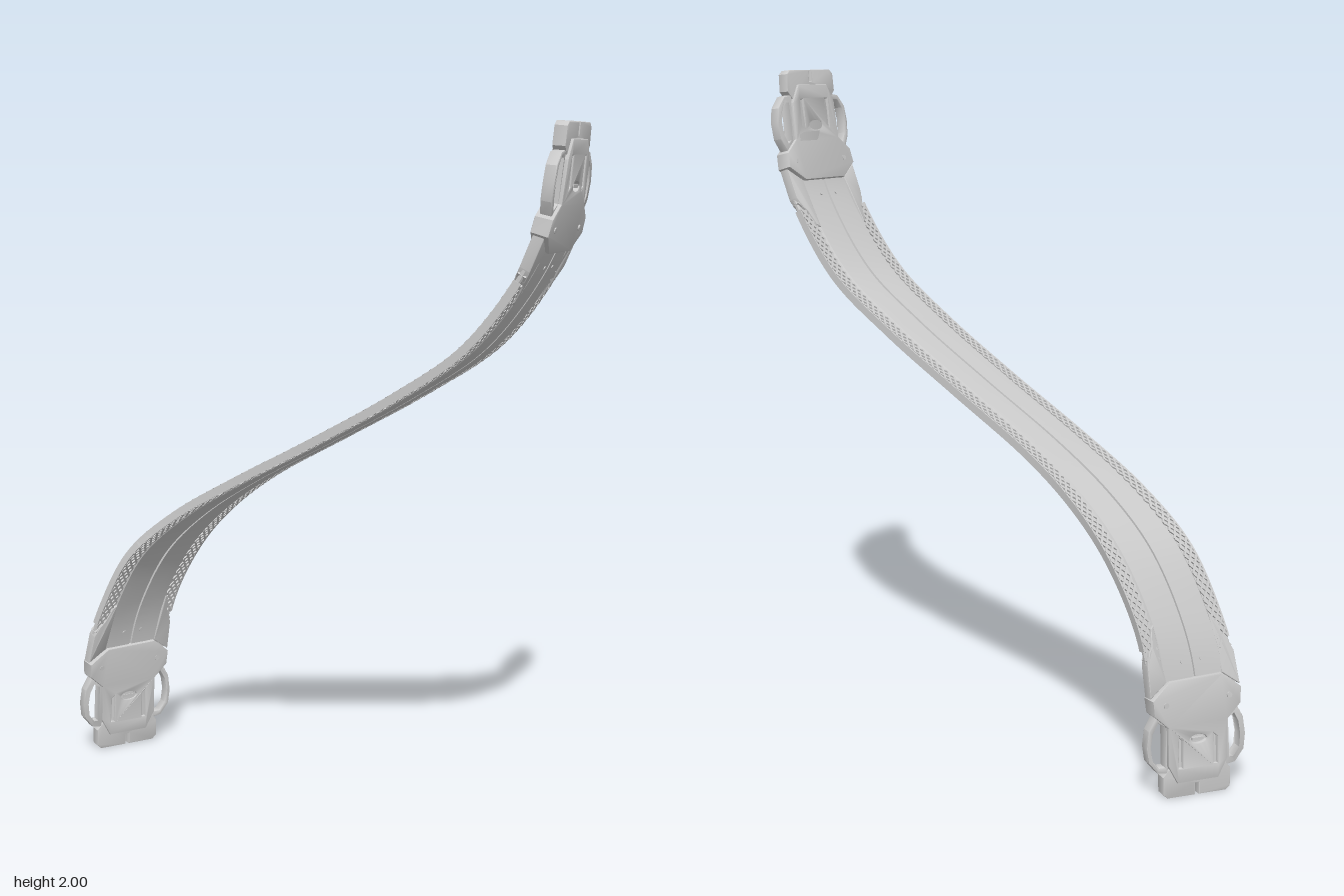
import * as THREE from 'three';
import { mergeGeometries, toCreasedNormals } from 'three/addons/utils/BufferGeometryUtils.js';

// Rungs of the twisted S-shaped strap: height, x of one edge, x of the other edge
const RUNGS = [
  [0, -0.81, -0.60], [0.15, -0.80, -0.60], [0.335, -0.775, -0.60], [0.5, -0.715, -0.56],
  [0.68, -0.61, -0.46], [0.82, -0.445, -0.335], [0.945, -0.235, -0.17], [1.085, 0.022, 0.075],
  [1.235, 0.28, 0.333], [1.39, 0.497, 0.552], [1.605, 0.66, 0.708], [1.78, 0.716, 0.768], [2, 0.738, 0.79],
];
const HALF = 0.145; // half width of the flat strap
const curve = (pts) => new THREE.CatmullRomCurve3(pts, false, 'catmullrom', 0.5);
const edgeA = curve(RUNGS.map(([y, a]) => new THREE.Vector3(a, y, 0.117 + 0.206 * a)));
const edgeB = curve(RUNGS.map(([y, , b]) => new THREE.Vector3(b, y, -0.169 + 0.18 * b)));
const spine = curve(edgeA.points.map((p, i) => p.clone().lerp(edgeB.points[i], 0.5)));
spine.arcLengthDivisions = 600;
const L = spine.getLength();

// Bend a flat part (x across, y along, z thickness) onto the strap
function bend(geo, crease = 0.5) {
  const p = geo.attributes.position;
  const v = new THREE.Vector3();
  for (let i = 0; i < p.count; i++) {
    v.fromBufferAttribute(p, i);
    const t = spine.getUtoTmapping(THREE.MathUtils.clamp(v.y / L, 0, 1));
    const a = edgeA.getPoint(t), b = edgeB.getPoint(t);
    const across = b.clone().sub(a);
    const normal = across.clone().cross(spine.getTangent(t)).normalize();
    const out = a.add(b).multiplyScalar(0.5).addScaledVector(across, v.x / (2 * HALF)).addScaledVector(normal, v.z);
    p.setXYZ(i, out.x, out.y, out.z);
  }
  return toCreasedNormals(geo, crease);
}

const material = new THREE.MeshStandardMaterial({ color: 0xcccccc, side: THREE.DoubleSide });
function part(name, geo) {
  const m = new THREE.Mesh(bend(geo), material);
  m.name = name;
  return m;
}
const shapeOf = (pts) => new THREE.Shape(pts.map(([x, y]) => new THREE.Vector2(x, y)));
// Shape symmetric in x from its right-hand outline
const symmetric = (pts) => shapeOf([...pts, ...pts.slice().reverse().map(([x, y]) => [-x, y])]);

// Plate centred on the strap's mid-surface
function plate(shape, thick, bevel = 0.004) {
  return new THREE.ExtrudeGeometry(shape, {
    depth: thick - 2 * bevel, bevelEnabled: bevel > 0, bevelSize: bevel, bevelOffset: -bevel,
    bevelThickness: bevel, bevelSegments: 2, curveSegments: 10,
  }).translate(0, 0, -thick / 2 + bevel);
}
// Both ends share the same parts, turned half a turn
const atEnd = (geo, top) => (top ? geo.rotateZ(Math.PI).translate(0, L, 0) : geo);

// Strap cross-section: centre groove, thick middle panel, thin edge strips
function band() {
  const half = [[0, 0.009], [0.0035, 0.009], [0.0045, 0.015], [0.06, 0.0155], [0.095, 0.014], [0.1, 0.009],
    [0.139, 0.008], [0.143, 0.004]];
  const upper = [...half.slice(1).reverse().map(([x, z]) => [-x, z]), ...half];
  const lower = upper.slice().reverse().map(([x, z]) => [x, -z]);
  return new THREE.ExtrudeGeometry(shapeOf([...upper, ...lower].reverse()), {
    depth: L - 0.62, steps: 140, bevelEnabled: false,
  }).rotateX(-Math.PI / 2).translate(0, 0.31, 0);
}

// Diamond net along both edges, standing proud on both faces
function net() {
  const bars = [], pitch = 0.027, from = 0.44, to = L - 0.44;
  const width = 0.04, rise = 0.054;
  const length = Math.hypot(width, rise), lean = Math.atan2(rise, width);
  for (const side of [-1, 1]) {
    for (let y = from; y < to; y += pitch) {
      for (const dir of [-1, 1]) {
        bars.push(new THREE.BoxGeometry(length, 0.006, 0.027, 2, 1, 1).rotateZ(dir * lean)
          .translate(side * 0.121, y, 0));
      }
    }
    // Thin rail closing the net on its outside
    bars.push(new THREE.BoxGeometry(0.005, to - from, 0.024, 1, 100, 1)
      .translate(side * 0.1425, (from + to) / 2, 0));
  }
  return mergeGeometries(bars);
}

function cover() {
  const s = symmetric([[0.06, 0.045], [0.088, 0.1], [0.092, 0.215], [0.135, 0.255], [0.141, 0.3], [0.085, 0.347]]);
  // Slots either side of the latch
  for (const x of [-0.052, 0.052]) {
    const h = new THREE.Path();
    h.moveTo(x - 0.005, 0.09).lineTo(x - 0.005, 0.17).lineTo(x + 0.005, 0.18).lineTo(x + 0.005, 0.09).closePath();
    s.holes.push(h);
  }
  const window = new THREE.Path();
  window.absellipse(0, 0.17, 0.026, 0.013, 0, Math.PI * 2, true);
  s.holes.push(window);
  return plate(s, 0.054);
}

// Connector tongue, split in the middle at its tip
function tongue() {
  return plate(symmetric([[0.005, 0.035], [0.005, 0], [0.085, 0], [0.098, 0.012], [0.1, 0.065], [0.08, 0.09],
    [0.084, 0.22], [0.12, 0.26], [0.125, 0.3], [0.075, 0.335]]), 0.038, 0.003);
}

// Open side loop
function loop(side) {
  const outer = [[0.085, 0.075], [0.115, 0.08], [0.142, 0.115], [0.149, 0.16], [0.145, 0.21], [0.125, 0.25], [0.085, 0.25]];
  const inner = [[0.094, 0.095], [0.112, 0.095], [0.13, 0.12], [0.136, 0.16], [0.132, 0.2], [0.118, 0.23], [0.094, 0.215]];
  const mirror = (pts) => pts.map(([x, y]) => [x * side, y]);
  const s = shapeOf(mirror(outer));
  s.holes.push(new THREE.Path(mirror(inner).map(([x, y]) => new THREE.Vector2(x, y))));
  return plate(s, 0.034, 0.003);
}

// Smooth guard where the net meets the fitting
function guard(side) {
  return plate(shapeOf([[0.09, 0.345], [0.143, 0.305], [0.144, 0.4], [0.132, 0.435], [0.12, 0.45], [0.108, 0.5], [0.096, 0.51]]
    .map(([x, y]) => [x * side, y])), 0.034, 0.003);
}

const stud = (x, y, r, thick) =>
  new THREE.CylinderGeometry(r, r, thick, 12).rotateX(Math.PI / 2).translate(x, y, 0);

function fitting(top) {
  const g = new THREE.Group();
  g.name = top ? 'upperFitting' : 'lowerFitting';
  const add = (name, geo) => g.add(part(name, atEnd(geo, top)));
  add('coverPlate', cover());
  add('tongue', tongue());
  // Latch bar inside the oval window
  add('latch', new THREE.BoxGeometry(0.034, 0.008, 0.05).translate(0, 0.17, 0));
  for (const side of [-1, 1]) {
    add('sideLoop', loop(side));
    add('guard', guard(side));
    add('screw', stud(side * 0.1, 0.283, 0.008, 0.058));
    add('pin', stud(side * 0.032, 0.395, 0.006, 0.036));
  }
  return g;
}

export function createModel() {
  const model = new THREE.Group();
  model.name = 'strap';
  model.add(part('band', band()), part('edgeNet', net()), fitting(false), fitting(true));
  return model;
}
